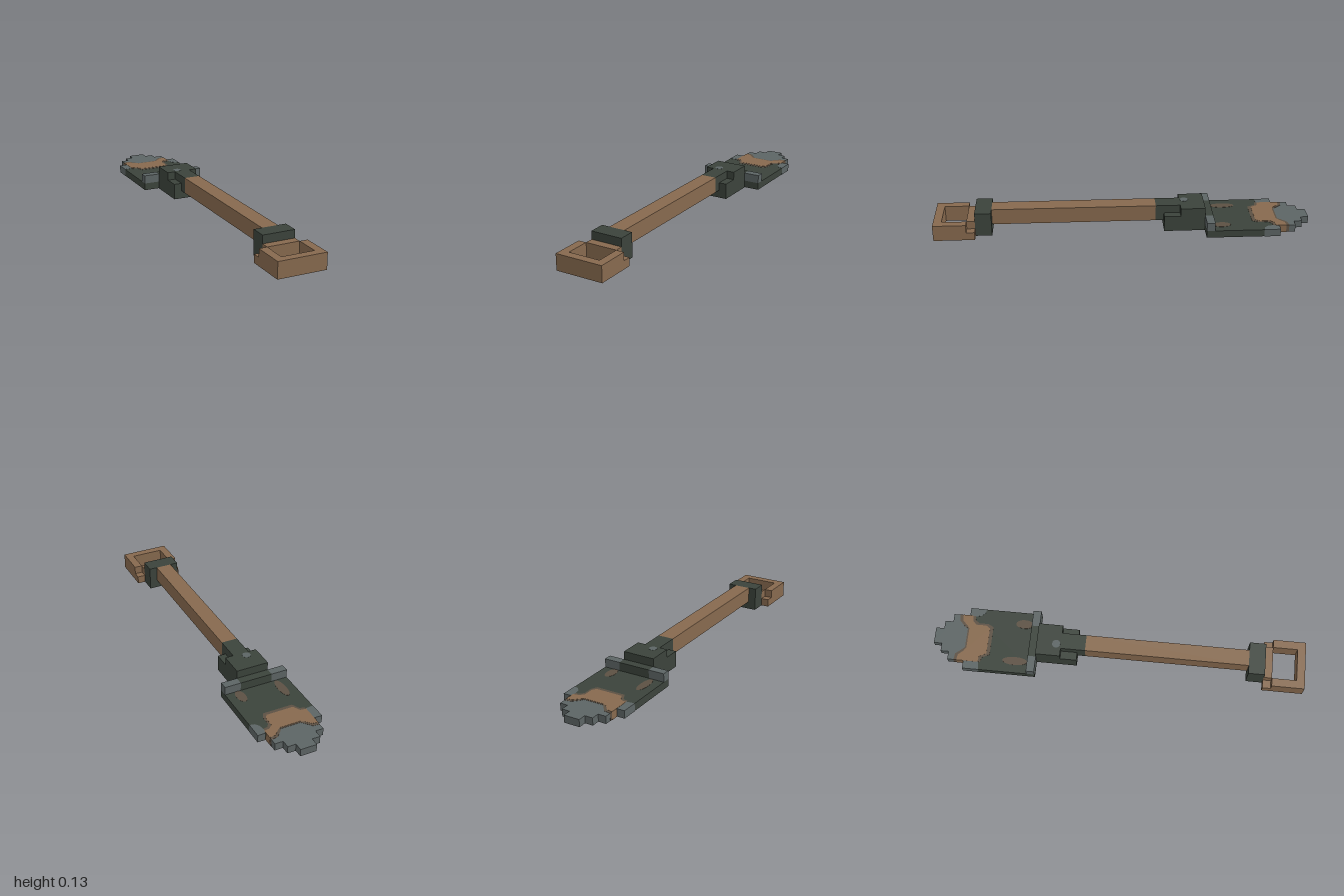
import * as THREE from 'three';

const U = 1 / 23; // one block of the modelling grid

function material(name, color) {
  const m = new THREE.MeshStandardMaterial({ color });
  m.name = name;
  return m;
}

export function createModel() {
  const wood = material('wood', 0x86694e);
  const iron = material('dark iron', 0x3b433b);
  const steel = material('worn steel', 0x5c6464);
  const rust = material('dull rust', 0x5c5043);
  const group = new THREE.Group();
  group.name = 'shovel';

  function add(name, geometry, mat) {
    const mesh = new THREE.Mesh(geometry, mat);
    mesh.name = name;
    group.add(mesh);
  }
  // Box given by its limits on each axis
  function box(name, mat, x0, x1, y0, y1, z0, z1) {
    const g = new THREE.BoxGeometry(x1 - x0, y1 - y0, z1 - z0);
    g.translate((x0 + x1) / 2, (y0 + y1) / 2, (z0 + z1) / 2);
    add(name, g, mat);
  }
  // Flat slab from an outline of [x, distance towards the tip]
  function slab(name, mat, shape, y0, y1) {
    const g = new THREE.ExtrudeGeometry(shape, { depth: y1 - y0, bevelEnabled: false, curveSegments: 8 });
    g.rotateX(-Math.PI / 2);
    g.translate(0, y0, 0);
    add(name, g, mat);
  }
  const outline = (pts) => new THREE.Shape(pts.map(([x, d]) => new THREE.Vector2(x, d)));
  const oval = (x, d, rx, rd) => new THREE.Shape().absellipse(x, d, rx, rd, 0, Math.PI * 2);

  // Handle
  box('handle', wood, -U, U, U, 3 * U, -4 * U, 16 * U);
  box('handleCollar', iron, -2 * U, 2 * U, 0, 3 * U, 16 * U, 18 * U);

  // Grip: a square ring whose inner corners are cut down to half height
  box('gripEnd', wood, -3 * U, 3 * U, 0, 2 * U, 22 * U, 23 * U);
  box('gripBar', wood, -2 * U, 2 * U, 0, 2 * U, 18 * U, 19 * U);
  for (const s of [-1, 1]) {
    const a = Math.min(s * 2 * U, s * 3 * U);
    box('gripSide', wood, a, a + U, 0, 2 * U, 19 * U, 22 * U);
    box('gripCorner', wood, a, a + U, 0, U, 18 * U, 19 * U);
  }

  // Socket joining handle and blade
  box('socket', iron, -2 * U, 2 * U, 0, 3 * U, -10 * U, -7 * U);
  box('socketStep', iron, -2 * U, 2 * U, 0, 2 * U, -7 * U, -5 * U);
  box('socketNeck', iron, -U, U, U, 3 * U, -7 * U, -4 * U);
  slab('socketSpot', steel, oval(-0.02, 0.33, 0.022, 0.022), 3 * U - 0.003, 3 * U + 0.001);

  // Blade, with each colour layer standing slightly proud of the one beneath
  const T = U;
  box('blade', iron, -4 * U, 4 * U, 0.002, T - 0.002, -19 * U, -10 * U);
  slab('bladeTip', steel, outline([
    [-3 * U, 19 * U], [3 * U, 19 * U], [3 * U, 21 * U], [2 * U, 21 * U], [2 * U, 22 * U],
    [U, 22 * U], [U, 23 * U], [-U, 23 * U], [-U, 22 * U], [-2 * U, 22 * U], [-2 * U, 21 * U], [-3 * U, 21 * U],
  ]), 0.002, T - 0.002);

  // Tread ridge across the blade shoulders
  box('tread', iron, -2 * U, 2 * U, U - 0.002, 2 * U, -11 * U, -10 * U);
  for (const s of [-1, 1]) {
    const a = Math.min(s * 2 * U, s * 4 * U);
    box('treadEnd', steel, a, a + 2 * U, U - 0.002, 2 * U, -11 * U, -10 * U);
  }

  // Worn edges at the outer corners
  slab('leftWornEdge', steel, outline([
    [0.1745, 0.74], [0.1745, 0.8265], [0.135, 0.8265], [0.127, 0.80], [0.133, 0.765], [0.15, 0.745],
  ]), 0.001, T - 0.001);
  slab('rightWornEdge', steel, outline([
    [-0.1745, 0.74], [-0.13, 0.745], [-0.13, 0.8265], [-0.1745, 0.8265],
  ]), 0.001, T - 0.001);

  // Rust border and bare patch
  slab('rustPatch', rust, outline([
    [-0.131, 0.88], [-0.131, 0.735], [-0.105, 0.73], [-0.085, 0.69], [0.075, 0.69], [0.09, 0.72],
    [0.09, 0.77], [0.105, 0.79], [0.131, 0.795], [0.131, 0.88], [0.095, 0.875], [0.065, 0.845],
    [0.055, 0.828], [-0.055, 0.828], [-0.07, 0.845], [-0.095, 0.875],
  ]), 0.001, T - 0.001);
  slab('barePatch', wood, outline([
    [-0.1315, 0.865], [-0.1315, 0.75], [-0.1, 0.745], [-0.08, 0.708], [0.065, 0.708], [0.08, 0.73],
    [0.08, 0.785], [0.1, 0.805], [0.1315, 0.81], [0.1315, 0.865], [0.098, 0.86], [0.07, 0.832],
    [0.055, 0.82], [-0.055, 0.82], [-0.075, 0.832], [-0.1, 0.86],
  ]), 0, T);

  // Rust spots near the shoulders
  slab('rightRustSpot', rust, oval(-0.108, 0.55, 0.023, 0.068), 0.001, T - 0.001);
  slab('leftRustSpot', rust, oval(0.107, 0.522, 0.025, 0.048), 0.001, T - 0.001);

  return group;
}
